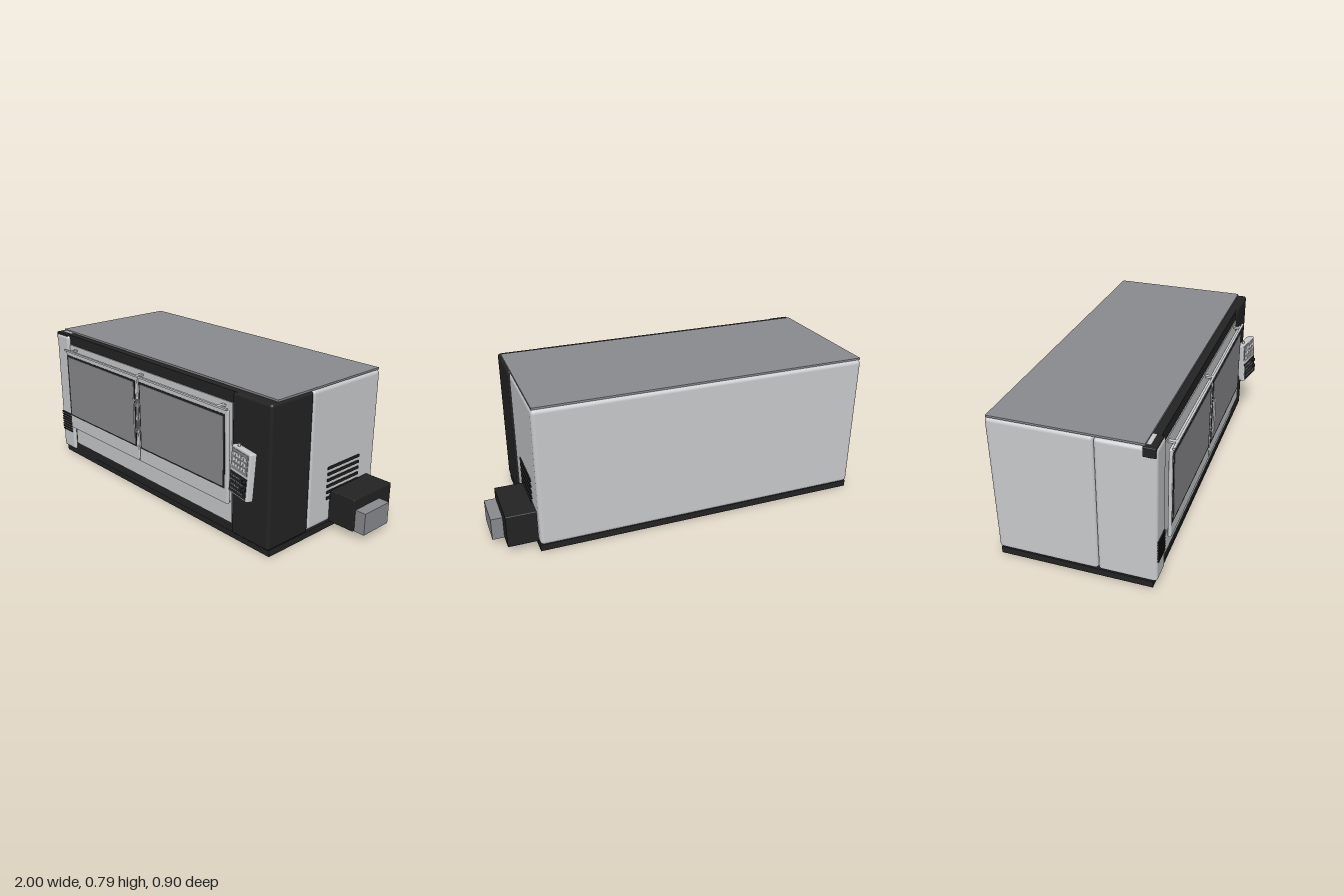
import * as THREE from 'three';
import { RoundedBoxGeometry } from 'three/addons/geometries/RoundedBoxGeometry.js';

const flat = (name, color) => {
  const m = new THREE.MeshStandardMaterial({ color });
  m.name = name;
  return m;
};

export function createModel() {
  const white = flat('white enamel', 0xcacbcd);
  const black = flat('black plastic', 0x232323);
  const gray = flat('gray panel', 0x8a8b8f);
  const light = flat('light key', 0xe2e3e5);

  const root = new THREE.Group();
  root.name = 'enclosedMachine';

  // Box from its limits on each axis, with optional rounded edges
  const block = (name, mat, [x0, x1], [y0, y1], [z0, z1], r = 0, parent = root) => {
    const s = [x1 - x0, y1 - y0, z1 - z0];
    const geo = r ? new RoundedBoxGeometry(...s, 3, r) : new THREE.BoxGeometry(...s);
    const mesh = new THREE.Mesh(geo, mat);
    mesh.name = name;
    mesh.position.set((x0 + x1) / 2, (y0 + y1) / 2, (z0 + z1) / 2);
    parent.add(mesh);
    return mesh;
  };
  const rod = (name, mat, r, a, b, parent = root) => {
    const from = new THREE.Vector3(...a), dir = new THREE.Vector3(...b).sub(from);
    const mesh = new THREE.Mesh(new THREE.CylinderGeometry(r, r, dir.length(), 12), mat);
    mesh.name = name;
    mesh.position.copy(from).addScaledVector(dir, 0.5);
    mesh.quaternion.setFromUnitVectors(new THREE.Vector3(0, 1, 0), dir.normalize());
    parent.add(mesh);
  };

  // Main housing
  block('base', black, [-0.99, 0.785], [0, 0.035], [-0.44, 0.34]);
  block('rearHousing', white, [-0.995, 0.785], [0.035, 0.775], [-0.45, 0.07], 0.022);
  block('frontCarcass', black, [-0.89, 0.56], [0.035, 0.775], [0.05, 0.345]);
  block('controlTower', black, [0.537, 0.79], [0.035, 0.775], [0.07, 0.355], 0.015);
  block('sideColumn', white, [-0.995, -0.87], [0.038, 0.768], [0.07, 0.361], 0.018);
  block('columnCap', black, [-1, -0.885], [0.725, 0.775], [0.295, 0.355], 0.004);
  block('capPlate', white, [-0.975, -0.89], [0.77, 0.777], [0.3, 0.326]);
  block('roof', gray, [-0.99, 0.78], [0.775, 0.785], [-0.44, 0.305]);

  // Front panels behind and below the doors
  block('doorSurround', white, [-0.87, 0.535], [0.205, 0.717], [0.34, 0.35]);
  block('lowerPanel', white, [-0.855, 0.537], [0.088, 0.203], [0.34, 0.352]);

  // Sliding doors with framed windows and handles
  [[-0.858, -0.163, -1], [-0.157, 0.54, 1]].forEach(([x0, x1, side]) => {
    const door = new THREE.Group();
    door.name = side < 0 ? 'rightDoor' : 'leftDoor';
    root.add(door);
    block('doorFrame', white, [x0, x1], [0.203, 0.687], [0.367, 0.385], 0.005, door);
    block('windowSeal', black, [x0 + 0.013, x1 - 0.018], [0.283, 0.665], [0.383, 0.387], 0, door);
    block('windowGlass', gray, [x0 + 0.023, x1 - 0.028], [0.293, 0.655], [0.384, 0.389], 0, door);
    const hx = -0.16 + side * 0.015;
    rod('handle', white, 0.005, [hx, 0.37, 0.401], [hx, 0.57, 0.401], door);
    [0.385, 0.555].forEach((y) =>
      rod('handleMount', white, 0.004, [hx, y, 0.384], [hx, y, 0.401], door));
  });
  block('doorRail', white, [-0.86, 0.54], [0.69, 0.7], [0.385, 0.397]);
  [-0.8, -0.16, 0.48].forEach((x) =>
    block('railBracket', white, [x - 0.01, x + 0.01], [0.69, 0.7], [0.345, 0.388]));

  // Column grille and side vents
  for (let i = 0; i < 8; i++) {
    const y = 0.158 + i * 0.0158;
    block('grilleSlot', black, [-0.985, -0.887], [y - 0.004, y + 0.004], [0.358, 0.367]);
  }
  for (let i = 0; i < 6; i++) {
    const y = 0.174 + i * 0.033;
    block('sideVent', black, [0.782, 0.791], [y - 0.007, y + 0.007], [-0.315, -0.068]);
  }

  // Side drive box and outlet
  block('driveBox', black, [0.78, 0.94], [0.035, 0.21], [-0.4, -0.097], 0.005);
  block('outletBox', gray, [0.93, 1], [0.035, 0.153], [-0.305, -0.11]);

  // Tilted control panel on an arm
  rod('panelArm', white, 0.009, [0.66, 0.438, 0.345], [0.66, 0.438, 0.4]);
  const panel = new THREE.Group();
  panel.name = 'controlPanel';
  panel.position.set(0.66, 0.42, 0.403);
  panel.rotation.set(-0.095, -0.22, 0, 'XYZ');
  root.add(panel);
  block('panelCase', white, [-0.081, 0.081], [-0.118, 0.118], [-0.019, 0.019], 0.007, panel);
  block('screen', gray, [-0.067, 0.067], [0.006, 0.105], [0.016, 0.021], 0, panel);
  block('keypad', black, [-0.07, 0.07], [-0.108, -0.007], [0.016, 0.021], 0, panel);
  rod('panelButton', white, 0.007, [-0.04, 0.116, 0.004], [-0.04, 0.132, 0.004], panel);

  // Screen tiles
  for (let r = 0; r < 3; r++) for (let c = 0; c < 5; c++) {
    const x = -0.046 + c * 0.023, y = 0.03 + r * 0.026;
    block('screenTile', light, [x - 0.008, x + 0.008], [y - 0.008, y + 0.008], [0.02, 0.023], 0, panel);
  }
  // Keypad keys and knobs
  for (let r = 0; r < 4; r++) for (let c = 0; c < (r % 2 ? 7 : 5); c++) {
    const x = -0.055 + c * 0.0155, y = -0.024 - r * 0.022;
    block('key', gray, [x - 0.005, x + 0.005], [y - 0.004, y + 0.004], [0.02, 0.023], 0, panel);
  }
  [-0.026, -0.066].forEach((y) =>
    rod('knob', black, 0.01, [0.052, y, 0.018], [0.052, y, 0.032], panel));

  return root;
}
